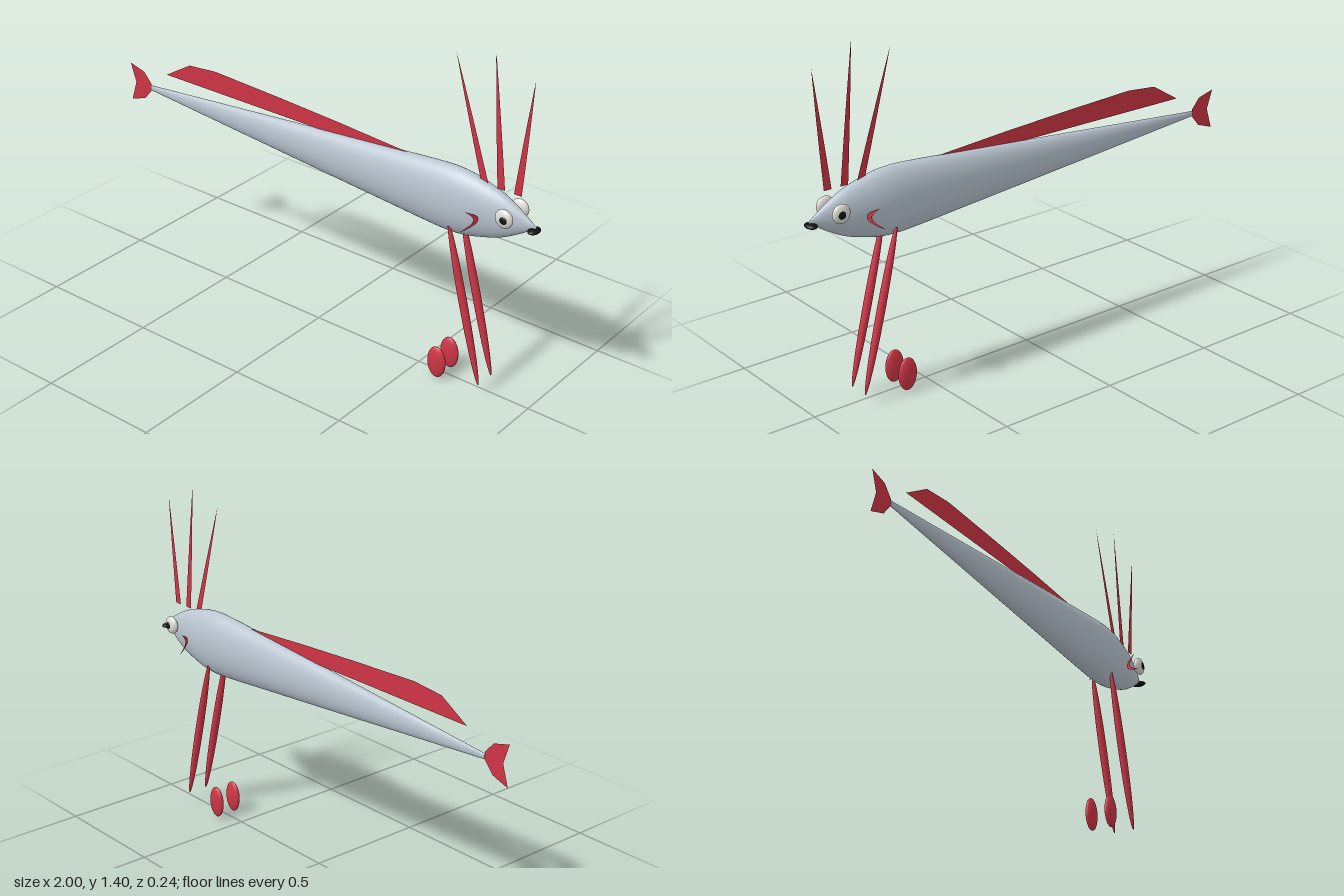
import * as THREE from 'three';

const material = (color, side = THREE.FrontSide) =>
  new THREE.MeshStandardMaterial({ color, side, roughness: 0.6 });

export function createModel() {
  const fish = new THREE.Group();
  fish.name = 'ribbonFish';

  const skin = material(0xb9c5d0);
  const red = material(0xcf3545);
  const finRed = material(0xcf3545, THREE.DoubleSide);
  const eyeWhite = material(0xdedcd6);
  const black = material(0x111111);

  const add = (name, geometry, mat, parent = fish) => {
    const mesh = new THREE.Mesh(geometry, mat);
    mesh.name = name;
    parent.add(mesh);
    return mesh;
  };
  const ellipsoid = (name, mat, [x, y, z], [rx, ry, rz], parent = fish) => {
    const mesh = add(name, new THREE.SphereGeometry(1, 28, 20), mat, parent);
    mesh.position.set(x, y, z);
    mesh.scale.set(rx, ry, rz);
    return mesh;
  };
  const outline = (points) => new THREE.Shape(points.map(([x, y]) => new THREE.Vector2(x, y)));

  // Body: long taper to the tail, blunt shoulder and pointed snout, narrow from side to side
  const profile = new THREE.SplineCurve([
    [0.011, -0.885], [0.05, -0.42], [0.085, 0], [0.113, 0.34], [0.127, 0.51], [0.133, 0.62],
    [0.127, 0.7], [0.108, 0.78], [0.084, 0.85], [0.046, 0.92], [0.003, 0.985],
  ].map(([r, x]) => new THREE.Vector2(r, x))).getPoints(70);
  const bodyGeometry = new THREE.LatheGeometry(
    [new THREE.Vector2(0, -0.885), ...profile, new THREE.Vector2(0, 0.986)], 40);
  bodyGeometry.rotateZ(-Math.PI / 2).scale(1, 1, 0.49).translate(0, 0.768, 0);
  add('body', bodyGeometry, skin);

  // Dorsal fin: flat sail along the back
  add('dorsalFin', new THREE.ShapeGeometry(outline([
    [-0.795, 0.853], [-0.666, 0.93], [-0.527, 0.942], [-0.2, 0.927], [0.1, 0.91],
    [0.44, 0.886], [0.6, 0.853],
  ])), finRed);

  // Tail fin: forked and flat
  add('tailFin', new THREE.ShapeGeometry(outline([
    [-0.885, 0.785], [-0.925, 0.83], [-1, 0.85], [-0.973, 0.77], [-1, 0.685],
    [-0.925, 0.71], [-0.885, 0.757],
  ])), finRed);

  // Crest: three tall flat rays over the head
  [[0.762, 0.617, 1.347], [0.831, 0.78, 1.4], [0.901, 0.946, 1.326]].forEach(([base, tip, top], i) => {
    const ray = new THREE.Shape();
    const mid = (base + tip) / 2;
    ray.moveTo(base - 0.016, 0.87);
    ray.quadraticCurveTo(mid - 0.011, (top + 0.87) / 2, tip, top);
    ray.quadraticCurveTo(mid + 0.011, (top + 0.87) / 2, base + 0.016, 0.87);
    add('crestRay' + (i + 1), new THREE.ShapeGeometry(ray), finRed);
  });

  // Pectoral crescent, drawn in (outward, up) and swept back from the flank
  const crescent = new THREE.Shape();
  crescent.moveTo(0.065, 0.04);
  crescent.quadraticCurveTo(0.01, 0.02, 0.005, 0);
  crescent.quadraticCurveTo(0.02, -0.03, 0.087, -0.037);
  crescent.quadraticCurveTo(0.035, -0.02, 0.027, 0);
  crescent.quadraticCurveTo(0.035, 0.02, 0.065, 0.04);

  // Paired parts
  for (const [side, s] of [['left', 1], ['right', -1]]) {
    const fin = new THREE.ShapeGeometry(crescent);
    const p = fin.attributes.position;
    for (let i = 0; i < p.count; i++) {
      const u = p.getX(i);
      p.setXYZ(i, 0.778 - 0.45 * u, 0.752 + p.getY(i), s * (0.045 + 0.85 * u));
    }
    fin.computeVertexNormals();
    add(side + 'PectoralFin', fin, finRed);

    // Long pelvic filament, with its separate paddle behind
    const pelvic = ellipsoid(side + 'PelvicFilament', red, [0.722, 0.367, s * 0.043], [0.016, 0.333, 0.016]);
    pelvic.rotation.z = 0.248;
    ellipsoid(side + 'PelvicPaddle', red, [0.611, 0.07, s * 0.043], [0.041, 0.067, 0.016]);

    // Eye and pupil
    ellipsoid(side + 'Eye', eyeWhite, [0.882, 0.791, s * 0.052], [0.037, 0.037, 0.017]);
    ellipsoid(side + 'Pupil', black, [0.886, 0.791, s * 0.0625], [0.018, 0.018, 0.009]);
  }

  // Mouth at the tip of the snout
  ellipsoid('mouth', black, [0.977, 0.754, 0], [0.021, 0.01, 0.031]);

  return fish;
}
